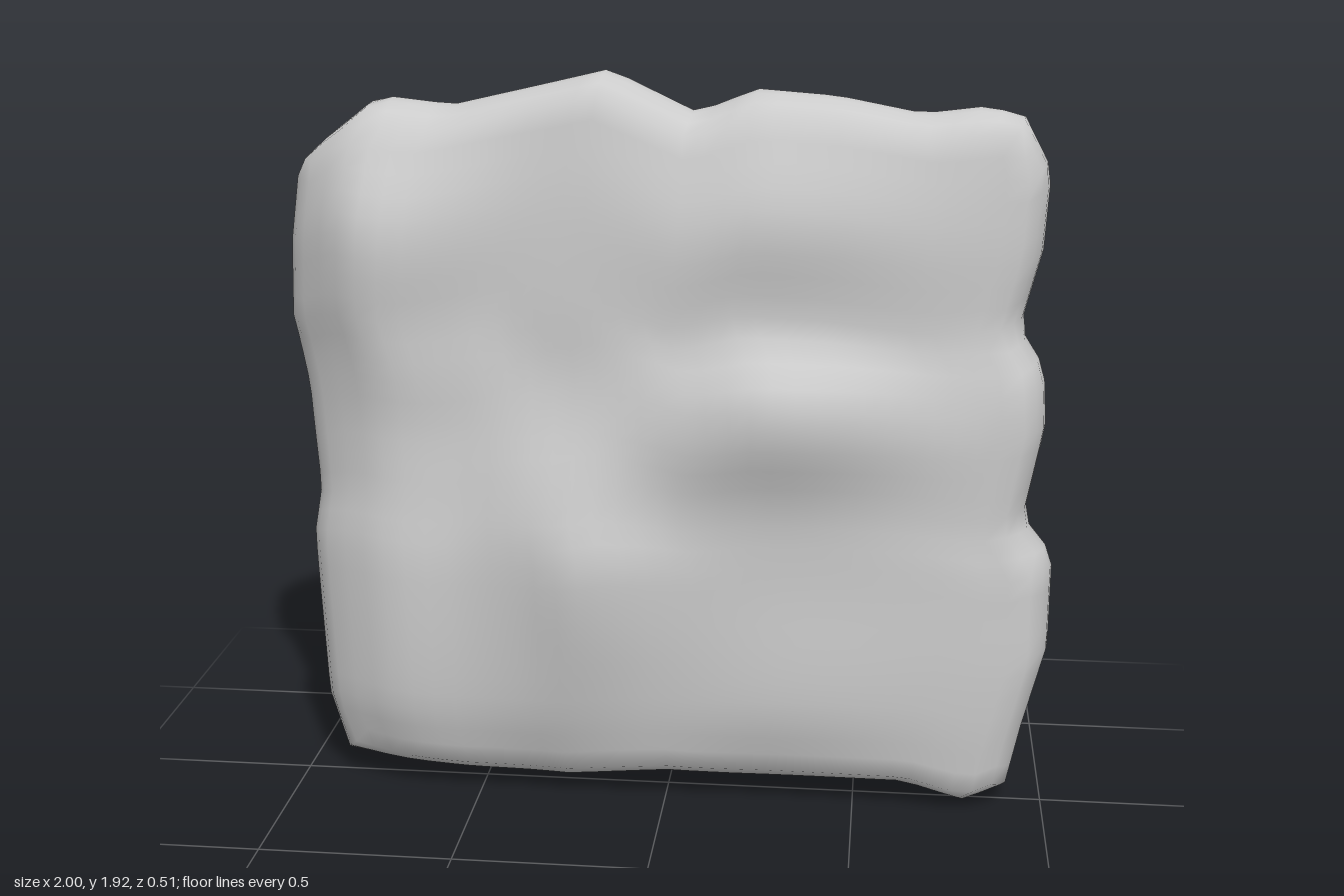
import * as THREE from 'three';
import { mergeVertices } from 'three/addons/utils/BufferGeometryUtils.js';

// Outline of the slab, one chipped edge per side, as [x, y] points
const LEFT = [[-0.89, 0.07], [-0.94, 0.24], [-0.96, 0.7], [-0.94, 0.82], [-0.96, 1.1], [-1, 1.28], [-0.99, 1.48], [-0.96, 1.68], [-0.87, 1.76]];
const RIGHT = [[0.91, 0.06], [0.945, 0.23], [1, 0.45], [1, 0.7], [0.92, 0.8], [0.965, 1.05], [0.955, 1.2], [0.89, 1.3], [0.94, 1.5], [0.95, 1.7], [0.88, 1.83]];
const TOP = [[-0.87, 1.76], [-0.74, 1.86], [-0.55, 1.84], [-0.15, 1.935], [0.07, 1.83], [0.22, 1.89], [0.42, 1.875], [0.63, 1.835], [0.79, 1.855], [0.88, 1.83]];
const BOTTOM = [[-0.89, 0.07], [-0.52, 0.04], [-0.26, 0.035], [0, 0.06], [0.2, 0.055], [0.63, 0.055], [0.79, 0.005], [0.91, 0.06]];

// Bulges of the two faces: columns run left to right, rows bottom to top
const COLS = [0, 0.09, 0.21, 0.29, 0.37, 0.5, 0.66, 0.9, 1];
const ROWS = [0, 0.11, 0.33, 0.44, 0.55, 0.62, 0.69, 0.86, 1];
const FRONT = [
  [0.06, 0.11, 0.11, 0.11, 0.12, 0.12, 0.11, 0.11, 0.09],
  [0.08, 0.16, 0.16, 0.17, 0.18, 0.16, 0.16, 0.13, 0.10],
  [0.08, 0.17, 0.18, 0.21, 0.25, 0.19, 0.16, 0.13, 0.10],
  [0.06, 0.15, 0.16, 0.19, 0.21, 0.18, 0.18, 0.13, 0.10],
  [0.05, 0.14, 0.14, 0.15, 0.15, 0.19, 0.24, 0.14, 0.10],
  [0.05, 0.15, 0.14, 0.13, 0.13, 0.17, 0.23, 0.13, 0.10],
  [0.04, 0.16, 0.14, 0.12, 0.13, 0.14, 0.14, 0.11, 0.08],
  [0.05, 0.18, 0.15, 0.12, 0.12, 0.14, 0.16, 0.11, 0.07],
  [0.04, 0.08, 0.08, 0.08, 0.09, 0.09, 0.08, 0.08, 0.06],
];
const BACK = [
  [0.12, 0.13, 0.13, 0.13, 0.13, 0.13, 0.13, 0.14, 0.13],
  [0.16, 0.20, 0.20, 0.20, 0.24, 0.21, 0.18, 0.19, 0.15],
  [0.16, 0.20, 0.18, 0.18, 0.22, 0.20, 0.18, 0.20, 0.15],
  [0.16, 0.20, 0.17, 0.16, 0.19, 0.18, 0.17, 0.18, 0.14],
  [0.15, 0.18, 0.17, 0.14, 0.14, 0.14, 0.14, 0.15, 0.12],
  [0.17, 0.22, 0.21, 0.14, 0.13, 0.15, 0.15, 0.16, 0.13],
  [0.19, 0.245, 0.25, 0.16, 0.14, 0.17, 0.18, 0.18, 0.14],
  [0.17, 0.24, 0.24, 0.16, 0.14, 0.16, 0.18, 0.18, 0.14],
  [0.13, 0.16, 0.15, 0.13, 0.13, 0.14, 0.14, 0.14, 0.12],
];

// Point at fraction t along an edge, measured on the given axis
function along(edge, axis, t) {
  const last = edge.length - 1;
  const target = THREE.MathUtils.lerp(edge[0][axis], edge[last][axis], t);
  // Find the span that holds the target
  let i = 0;
  while (i < last - 1 && edge[i + 1][axis] < target) i++;
  const [a, b] = [edge[i], edge[i + 1]];
  const k = (target - a[axis]) / (b[axis] - a[axis]);
  return [a[0] + (b[0] - a[0]) * k, a[1] + (b[1] - a[1]) * k];
}

// Blend the four edges into a filled patch
function patch(u, v) {
  const l = along(LEFT, 1, v), r = along(RIGHT, 1, v);
  const b = along(BOTTOM, 0, u), t = along(TOP, 0, u);
  return [0, 1].map((k) => {
    const corners = (1 - v) * ((1 - u) * BOTTOM[0][k] + u * BOTTOM.at(-1)[k])
      + v * ((1 - u) * TOP[0][k] + u * TOP.at(-1)[k]);
    return (1 - u) * l[k] + u * r[k] + (1 - v) * b[k] + v * t[k] - corners;
  });
}

// Smooth interpolation of values placed at uneven knots
function smooth(knots, values, t) {
  const last = knots.length - 1;
  let i = 0;
  while (i < last - 1 && knots[i + 1] < t) i++;
  const k = (t - knots[i]) / (knots[i + 1] - knots[i]);
  const slope = (j) => {
    const a = Math.max(j - 1, 0), b = Math.min(j + 1, last);
    return (values[b] - values[a]) / (knots[b] - knots[a]);
  };
  const h = knots[i + 1] - knots[i], k2 = k * k, k3 = k2 * k;
  return (2 * k3 - 3 * k2 + 1) * values[i] + (k3 - 2 * k2 + k) * h * slope(i)
    + (3 * k2 - 2 * k3) * values[i + 1] + (k3 - k2) * h * slope(i + 1);
}
const bulge = (grid, u, v) => smooth(ROWS, grid.map((row) => smooth(COLS, row, u)), v);

export function createModel() {
  const group = new THREE.Group();
  group.name = 'stoneSlab';

  // Closed block with shared corners, so that the shading is smooth all round
  let geometry = new THREE.BoxGeometry(2, 2, 2, 32, 32, 6);
  geometry.deleteAttribute('normal');
  geometry.deleteAttribute('uv');
  geometry = mergeVertices(geometry, 1e-4);

  const p = geometry.attributes.position;
  for (let i = 0; i < p.count; i++) {
    const w = p.getZ(i);
    const inset = 1 - 0.06 * w * w; // rounded rim
    const u = (p.getX(i) + 1) / 2, v = (p.getY(i) + 1) / 2;
    const [x, y] = patch(0.5 + (u - 0.5) * inset, 0.5 + (v - 0.5) * inset);
    const z = THREE.MathUtils.lerp(-bulge(BACK, u, v), bulge(FRONT, u, v), (w + 1) / 2);
    p.setXYZ(i, x, y, z);
  }
  geometry.computeVertexNormals();

  const slab = new THREE.Mesh(geometry, new THREE.MeshStandardMaterial({ color: 0xcccccc }));
  slab.name = 'slab';
  group.add(slab);
  return group;
}
